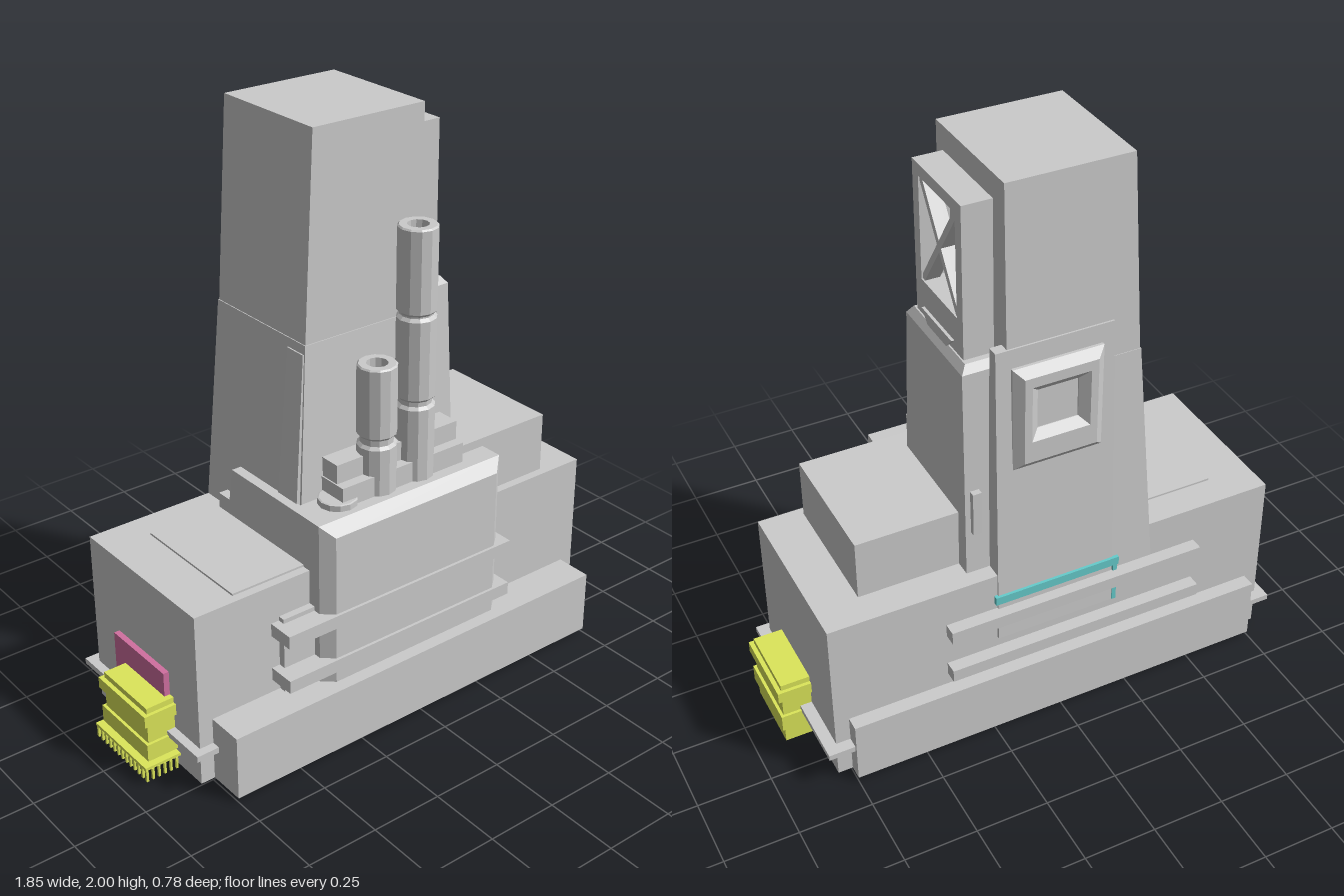
import * as THREE from 'three';

const mat = (color) => new THREE.MeshStandardMaterial({ color, flatShading: true });

export function createModel() {
  const model = new THREE.Group();
  const grey = mat(0xcccccc), yellow = mat(0xdce65a), pink = mat(0xd070a0);
  const teal = mat(0x66cccc), blue = mat(0x3399cc);

  const add = (name, geo, m = grey, parent = model) => {
    const mesh = new THREE.Mesh(geo, m);
    mesh.name = name;
    parent.add(mesh);
    return mesh;
  };
  // Box given by its limits on each axis
  const box = (name, x0, x1, y0, y1, z0, z1, m, parent) => {
    const g = new THREE.BoxGeometry(x1 - x0, y1 - y0, z1 - z0);
    g.translate((x0 + x1) / 2, (y0 + y1) / 2, (z0 + z1) / 2);
    return add(name, g, m, parent);
  };
  // Tapered block between two level rectangles [x0, x1, z0, z1]
  const taper = (y0, y1, low, high) => {
    const g = new THREE.BoxGeometry(1, 1, 1), p = g.attributes.position;
    for (let i = 0; i < p.count; i++) {
      const up = p.getY(i) > 0, r = up ? high : low;
      p.setXYZ(i, p.getX(i) > 0 ? r[1] : r[0], up ? y1 : y0, p.getZ(i) > 0 ? r[3] : r[2]);
    }
    return g;
  };
  const rect = (x0, x1, y0, y1, Type = THREE.Shape) =>
    new Type([[x0, y0], [x1, y0], [x1, y1], [x0, y1]].map((c) => new THREE.Vector2(...c)));

  // Base hull, skirts and rails
  box('hull', -0.8, 0.8, 0.015, 0.63, -0.34, 0.26);
  box('frontSkirt', -0.75, 0.75, 0.015, 0.24, 0.26, 0.39);
  box('backSkirt', -0.75, 0.75, 0.015, 0.24, -0.39, -0.34);
  box('endLedge', -0.83, 0.84, 0.13, 0.15, -0.38, 0.29);
  for (const y of [0.285, 0.45]) {
    box('frontRail', -0.52, 0.4, y, y + 0.045, 0.26, 0.355);
    box('backRail', -0.52, 0.4, y, y + 0.045, -0.385, -0.34);
  }
  box('roofBlock', 0.1, 0.65, 0.63, 0.84, -0.23, 0.23);
  box('roofPanel', -0.64, -0.36, 0.63, 0.637, -0.23, 0.23);

  // Chamfered front housing
  box('frontHousing', -0.37, 0.375, 0.24, 0.81, 0.17, 0.31);
  const face = taper(0, 0.035, [-0.37, 0.375, -0.81, -0.24], [-0.33, 0.335, -0.77, -0.24]);
  face.rotateX(Math.PI / 2);
  face.translate(0, 0, 0.31);
  add('housingFace', face);
  box('sideHousing', -0.49, -0.37, 0.24, 0.51, 0.26, 0.285);

  // Stepped side guard beside the tower
  const guard = new THREE.Shape([[0.23, 0.63], [0.23, 0.69], [0.17, 0.69], [0.15, 0.81], [-0.3, 0.81], [-0.3, 0.63]]
    .reverse().map((c) => new THREE.Vector2(...c)));
  const guardGeo = new THREE.ExtrudeGeometry(guard, { depth: 0.035, bevelEnabled: false });
  guardGeo.rotateY(Math.PI / 2);
  guardGeo.translate(-0.37, 0, 0);
  add('sideGuard', guardGeo);

  // Tower, upper and lower stages
  add('towerTop', taper(1.33, 2, [-0.285, 0.17, -0.315, 0.14], [-0.25, 0.17, -0.3, 0.14]));
  add('towerBase', taper(0.5, 1.33, [-0.35, 0.17, -0.345, 0.18], [-0.288, 0.172, -0.317, 0.143]));
  add('towerSideFin', taper(0.75, 1.3, [-0.345, -0.28, 0.06, 0.16], [-0.295, -0.27, 0.06, 0.14]));
  add('backPlate', taper(0.37, 1.46, [-0.2, 0.22, -0.352, -0.28], [-0.19, 0.21, -0.318, -0.28]));

  // Buttress on the left of the tower
  add('buttress', taper(0.63, 1.38, [0.1, 0.3, -0.285, 0.17], [0.1, 0.295, -0.27, 0.125]));
  add('buttressCap', taper(1.38, 1.405, [0.1, 0.295, -0.27, 0.125], [0.1, 0.275, -0.25, 0.11]));
  box('buttressSlit', 0.25, 0.28, 0.79, 0.95, -0.3, -0.27);

  // Side frame with crossed braces
  const frame = rect(-0.095, 0.23, 1.4, 1.92);
  frame.holes.push(rect(-0.055, 0.19, 1.53, 1.88, THREE.Path));
  const frameGeo = new THREE.ExtrudeGeometry(frame, { depth: 0.1, bevelEnabled: false });
  frameGeo.rotateY(Math.PI / 2);
  frameGeo.translate(0.17, 0, 0);
  add('sideFrame', frameGeo);
  for (const s of [-1, 1]) {
    const brace = add('crossBrace', new THREE.BoxGeometry(0.05, 0.42, 0.022));
    brace.position.set(0.24, 1.705, -0.067);
    brace.rotation.x = s * Math.atan2(0.235, 0.34);
  }
  add('frameFoot', taper(1.4, 1.44, [0.2, 0.28, -0.13, 0.0], [0.2, 0.28, -0.17, 0.04]));

  // Bevelled window on the back
  const win = rect(-0.125, 0.125, -0.155, 0.155);
  win.holes.push(rect(-0.125, 0.125, -0.11, 0.14, THREE.Path));
  win.holes[0] = rect(-0.1, 0.1, -0.08, 0.12, THREE.Path);
  const winGeo = new THREE.ExtrudeGeometry(win, {
    depth: 0.01, bevelThickness: 0.025, bevelSize: 0.03, bevelSegments: 1,
  });
  winGeo.rotateY(Math.PI);
  winGeo.translate(0.005, 1.21, -0.32);
  add('backWindow', winGeo);

  // Exhaust stacks on their mount
  box('stackMount', -0.245, 0.25, 0.8, 0.88, 0.12, 0.27);
  box('stackMountTop', -0.24, 0.25, 0.88, 0.945, 0.14, 0.235);
  const stack = (name, x, profile) => {
    const g = new THREE.LatheGeometry(profile.map((c) => new THREE.Vector2(...c)), 12);
    add(name, g).position.set(x, 0, 0.225);
  };
  const mouth = (y) => [[0.06, y], [0.035, y], [0.035, y - 0.07], [0, y - 0.07]];
  stack('tallStack', 0.08, [[0.065, 0.81], [0.065, 1.06], [0.055, 1.07], [0.055, 1.085], [0.065, 1.095],
    [0.065, 1.36], [0.055, 1.37], [0.055, 1.375], [0.065, 1.385], [0.065, 1.655], ...mouth(1.66)]);
  stack('shortStack', -0.075, [[0.065, 0.81], [0.065, 0.97], [0.055, 0.98], [0.055, 1.0], [0.065, 1.01],
    [0.065, 1.24], ...mouth(1.245)]);
  stack('stubStack', -0.23, [[0.065, 0.8], [0.065, 0.83], ...mouth(0.832).slice(0, 2), [0, 0.832]]);

  // Yellow end units with bands
  for (const s of [-1, 1]) {
    const unit = new THREE.Group();
    unit.name = s > 0 ? 'leftEndUnit' : 'rightEndUnit';
    model.add(unit);
    const part = (name, w, y0, y1, z) =>
      box(name, Math.min(s * 0.78, s * w), Math.max(s * 0.78, s * w), y0, y1, -z - 0.005, z - 0.005, yellow, unit);
    part('unitBody', 0.9, s > 0 ? 0.015 : 0.06, 0.265, 0.125);
    part('upperBand', 0.915, 0.205, 0.245, 0.137);
    part('middleBand', 0.91, 0.075, 0.135, 0.135);
    if (s < 0) {
      // Brush tray with bristles round its three outer sides
      part('brushTray', 0.93, 0.055, 0.065, 0.15);
      for (let i = 0; i <= 12; i++) {
        const z = -0.15 + i * 0.0242;
        box('bristle', -0.93, -0.922, 0.015, 0.056, z, z + 0.008, yellow, unit);
      }
      for (let i = 1; i <= 5; i++) for (const z of [-0.15, 0.14]) {
        const x = -0.93 + i * 0.022;
        box('bristle', x, x + 0.008, 0.015, 0.056, z, z + 0.008, yellow, unit);
      }
    }
  }
  box('pinkPanel', -0.82, -0.79, 0.03, 0.35, -0.19, 0.1, pink);

  // Teal strip on the back
  box('tealStrip', -0.22, 0.23, 0.52, 0.55, -0.356, -0.34, teal);
  box('tealEdge', -0.215, -0.2, 0.37, 0.52, -0.354, -0.34, teal);

  // Underside plates
  box('keelPlate', -0.24, 0.2, 0, 0.02, -0.3, 0.24);
  for (const s of [-1, 1]) {
    const c = s * 0.45;
    box('undersidePanel', c - 0.22, c + 0.22, 0.009, 0.02, -0.2, 0.19, teal);
    for (const z of [-0.13, 0.02])
      box('undersideHatch', c - 0.11, c + 0.11, 0.005, 0.02, z, z + 0.11, blue);
  }
  return model;
}
